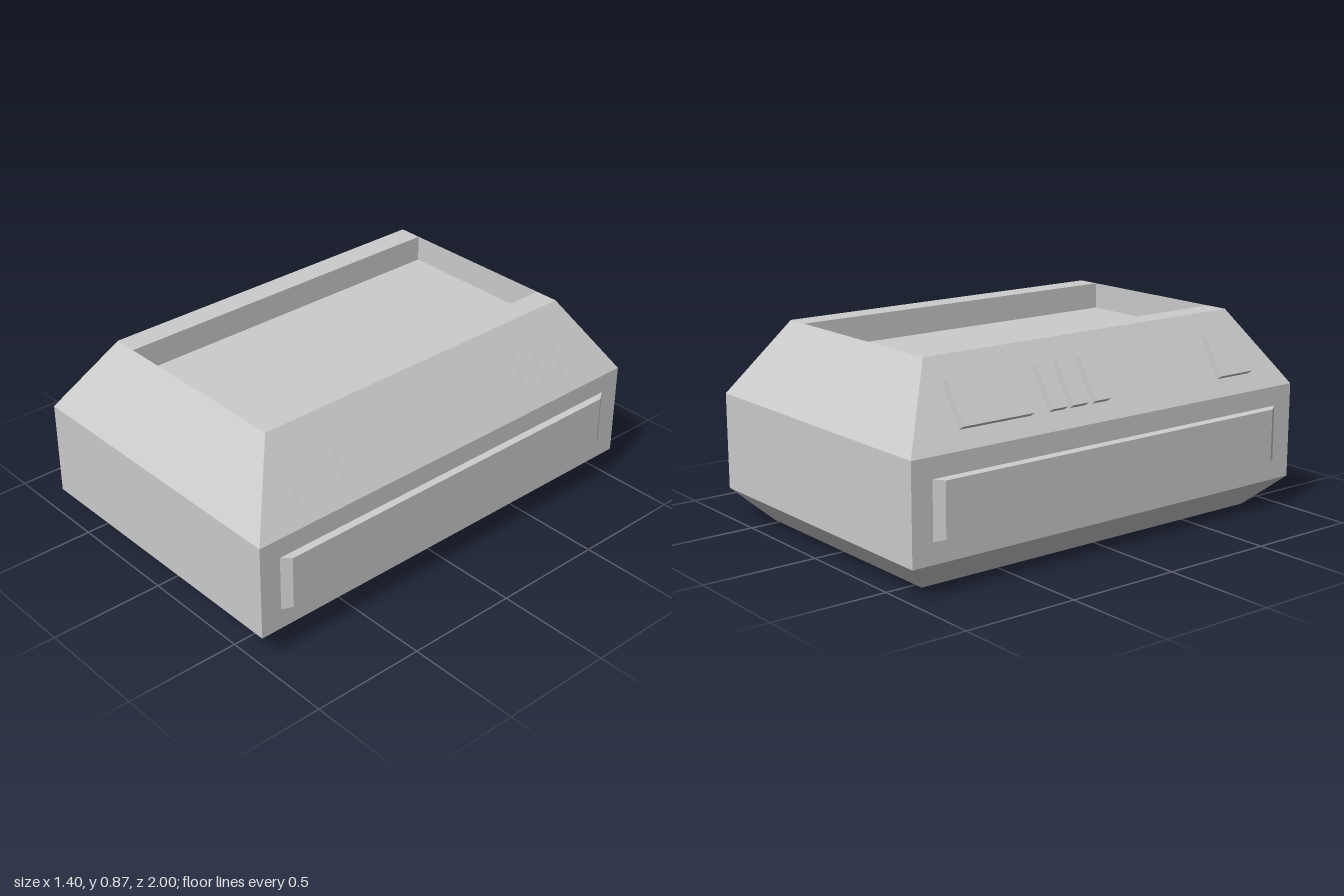
import * as THREE from 'three';

const hullGrey = new THREE.MeshStandardMaterial({ color: 0xcccccc, side: THREE.DoubleSide });

// Flat-shaded mesh from four-cornered faces (counter-clockwise seen from outside)
function facets(name, quads) {
  const pos = [];
  for (const [a, b, c, d] of quads) pos.push(...a, ...b, ...c, ...a, ...c, ...d);
  const g = new THREE.BufferGeometry();
  g.setAttribute('position', new THREE.Float32BufferAttribute(pos, 3));
  g.computeVertexNormals();
  const mesh = new THREE.Mesh(g, hullGrey);
  mesh.name = name;
  return mesh;
}

const rect = (u0, u1, v0, v1) => [[u0, v0], [u1, v0], [u1, v1], [u0, v1]];

// Hollow raised plate on the local xy plane, optionally tapering outward
function raisedPlate(name, [u0, u1, v0, v1], height, taperU = 0, taperV = 0) {
  const base = rect(u0, u1, v0, v1).map(p => [...p, 0]);
  const top = rect(u0 + taperU, u1 - taperU, v0 + taperV, v1 - taperV).map(p => [...p, height]);
  const quads = [top];
  for (let i = 0; i < 4; i++) {
    const j = (i + 1) % 4;
    quads.push([base[i], base[j], top[j], top[i]]);
  }
  return facets(name, quads);
}

// Thin wall with openings where the raised plates sit
function wall(name, outline, holes) {
  const toPoints = list => list.map(p => new THREE.Vector2(...p));
  const shape = new THREE.Shape(toPoints(outline));
  for (const h of holes) shape.holes.push(new THREE.Path(toPoints(rect(...h)).reverse()));
  const mesh = new THREE.Mesh(new THREE.ShapeGeometry(shape), hullGrey);
  mesh.name = name;
  return mesh;
}

// Hull profile: half width, height, half length
const W = 0.675, L = 1, TW = 0.47, TL = 0.795, BW = 0.54, BL = 0.865;
const Y1 = 0.135, Y2 = 0.55, TOP = 0.87;
const BAY = 0.365, FLOOR = 0.755;

// Vent extents along z on each flank
const vents = {
  1: [[-0.75, -0.67], [-0.64, -0.56], [-0.53, -0.45], [0.21, 0.55], [0.595, 0.78]],
  [-1]: [[-0.75, -0.41], [-0.32, -0.24], [-0.215, -0.135], [-0.10, -0.02], [0.595, 0.78]],
};

function flank(s) {
  const group = new THREE.Group();
  group.name = s > 0 ? 'leftFlank' : 'rightFlank';

  // Upright wall with its long bevelled panel
  const upright = new THREE.Group();
  upright.name = 'uprightSide';
  const panel = [-0.905, 0.905, 0.09, 0.33];
  upright.add(wall('sideWall', rect(-L, L, 0, Y2 - Y1), [panel]));
  upright.add(raisedPlate('sidePanel', panel, 0.027, 0.04, 0.006));
  upright.position.set(s * W, Y1, 0);
  upright.rotation.y = s * Math.PI / 2;
  group.add(upright);

  // Sloped shoulder with its row of vents
  const shoulder = new THREE.Group();
  shoulder.name = 'slopedShoulder';
  const rise = Math.hypot(W - TW, TOP - Y2);
  const holes = vents[s].map(([z0, z1]) => s > 0 ? [-z1, -z0, 0.08, 0.27] : [z0, z1, 0.08, 0.27]);
  shoulder.add(wall('shoulderWall', [[-L, 0], [L, 0], [TL, rise], [-TL, rise]], holes));
  for (const h of holes) shoulder.add(raisedPlate('vent', h, 0.03));
  const along = new THREE.Vector3(0, 0, -s);
  const up = new THREE.Vector3(-s * (W - TW), TOP - Y2, 0).normalize();
  const out = new THREE.Vector3().crossVectors(along, up);
  shoulder.setRotationFromMatrix(new THREE.Matrix4().makeBasis(along, up, out));
  shoulder.position.set(s * W, Y2, 0);
  group.add(shoulder);
  return group;
}

// Front wall, slope and chin; turned half round for the back
function endCap(name) {
  const group = new THREE.Group();
  group.name = name;
  const band = (n, w0, y0, z0, w1, y1, z1) =>
    group.add(facets(n, [[[-w0, y0, z0], [w0, y0, z0], [w1, y1, z1], [-w1, y1, z1]]]));
  band('chin', BW, 0, BL, W, Y1, L);
  band('endWall', W, Y1, L, W, Y2, L);
  band('endSlope', W, Y2, L, TW, TOP, TL);
  band('bayEndWall', BAY, TOP, TL, BAY, Y2, TL);
  band('endShelf', BAY, Y2, TL, BAY, Y2, L);
  return group;
}

// Lower bevel, top rim and bay wall of one side; turned half round for the other
function sideTrim(name) {
  const group = new THREE.Group();
  group.name = name;
  const strip = (n, x0, y0, l0, x1, y1, l1) =>
    group.add(facets(n, [[[x0, y0, l0], [x0, y0, -l0], [x1, y1, -l1], [x1, y1, l1]]]));
  strip('lowerBevel', BW, 0, BL, W, Y1, L);
  strip('topRim', TW, TOP, TL, BAY, TOP, TL);
  strip('bayWall', BAY, TOP, TL, BAY, Y2, TL);
  return group;
}

export function createModel() {
  const model = new THREE.Group();
  model.name = 'openBayHull';
  model.add(flank(1), flank(-1));

  const front = endCap('frontEnd'), back = endCap('backEnd');
  const left = sideTrim('leftTrim'), right = sideTrim('rightTrim');
  back.rotation.y = right.rotation.y = Math.PI;
  model.add(front, back, left, right);

  // Sunken floor of the top bay
  model.add(facets('bayFloor', [
    [[-BAY, FLOOR, TL], [BAY, FLOOR, TL], [BAY, FLOOR, -TL], [-BAY, FLOOR, -TL]],
  ]));
  return model;
}
